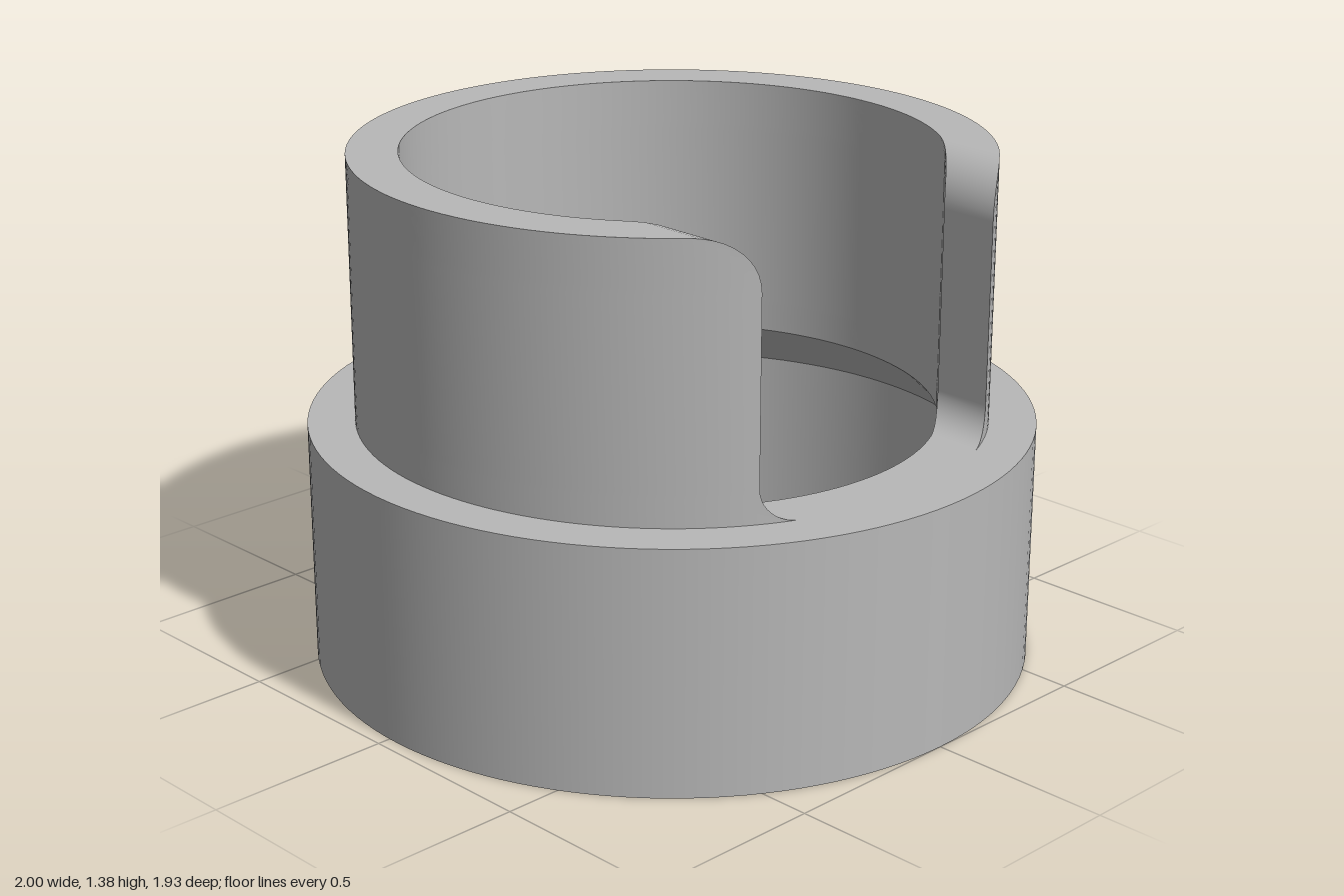
import * as THREE from 'three';
import { mergeGeometries } from 'three/addons/utils/BufferGeometryUtils.js';

const SEG = 128;
const R_BASE = 0.965, R_WALL = 0.84, R_BORE = 0.705; // radii
const Y_STEP = 0.655, Y_TOP = 1.377;                 // heights
const SLOT = 0.42, FILLET = 0.09, ROUND = 0.14;      // slot half-width and corner radii

// Grid surface from f(u, rowIndex) -> [x, y, z]; it faces du x dv.
function grid(f, cols, rows) {
  const pos = [], index = [];
  for (let i = 0; i < rows; i++) {
    for (let j = 0; j <= cols; j++) {
      pos.push(...f(j / cols, i));
      if (i < rows - 1 && j < cols) {
        const a = i * (cols + 1) + j, d = a + cols + 1;
        index.push(a, a + 1, d, a + 1, d + 1, d);
      }
    }
  }
  const g = new THREE.BufferGeometry();
  g.setAttribute('position', new THREE.Float32BufferAttribute(pos, 3));
  g.setIndex(index);
  g.computeVertexNormals();
  return g;
}

// Closed lathe ring with sharp profile corners.
function ring(profile) {
  return mergeGeometries(profile.map((p, i) => {
    const q = profile[(i + 1) % profile.length];
    return new THREE.LatheGeometry([new THREE.Vector2(...p), new THREE.Vector2(...q)], SEG);
  }));
}

// Slot outline on one side: [half-width, height] from floor to rim.
function slotOutline() {
  const pts = [], n = 10;
  for (let i = 0; i <= n; i++) {
    const t = (i / n) * Math.PI / 2;
    pts.push([SLOT - FILLET + FILLET * Math.sin(t), Y_STEP + FILLET * (1 - Math.cos(t))]);
  }
  // the lower corner fills the slot inward, the upper corner opens it outward
  for (let i = 0; i <= n; i++) {
    const t = (i / n) * Math.PI / 2;
    pts.push([SLOT + ROUND * (1 - Math.cos(t)), Y_TOP - ROUND + ROUND * Math.sin(t)]);
  }
  return pts;
}

// C-shaped wall with an open slot facing +x.
function slottedWall() {
  const rows = slotOutline(), n = rows.length;
  const onWall = (r, u, [w, y]) => {
    const a0 = Math.asin(w / r), a = a0 + u * (2 * Math.PI - 2 * a0);
    return [r * Math.cos(a), y, r * Math.sin(a)];
  };
  const onEdge = (u, [w, y], side) => {
    const xi = Math.sqrt(R_BORE ** 2 - w * w), xo = Math.sqrt(R_WALL ** 2 - w * w);
    return [xi + (xo - xi) * u, y, side * w];
  };
  const rim = rows[n - 1];
  return mergeGeometries([
    grid((u, i) => onWall(R_WALL, 1 - u, rows[i]), SEG, n),        // outside
    grid((u, i) => onWall(R_BORE, u, rows[i]), SEG, n),            // inside
    grid((u, i) => onWall(i ? R_WALL : R_BORE, u, rim), SEG, 2),   // top rim
    grid((u, i) => onEdge(1 - u, rows[i], 1), 1, n),               // slot edges
    grid((u, i) => onEdge(u, rows[i], -1), 1, n),
  ]);
}

export function createModel() {
  const model = new THREE.Group();
  model.name = 'slottedCollar';
  const grey = new THREE.MeshStandardMaterial({ color: 0xb8b8b8 });
  grey.name = 'grey';

  const add = (name, geometry) => {
    const mesh = new THREE.Mesh(geometry, grey);
    mesh.name = name;
    mesh.position.x = 0.035;
    model.add(mesh);
    return mesh;
  };

  // Wide base ring with a chamfer inside leading up to the narrower bore
  add('baseRing', ring([
    [R_WALL, 0], [R_BASE, 0], [R_BASE, Y_STEP], [R_BORE, Y_STEP], [R_WALL, Y_STEP - 0.135],
  ]));

  add('slottedWall', slottedWall());

  // Two round marker bumps on the side opposite the slot
  [0.33, 0.53].forEach((y, i) => {
    add(`markerBump${i + 1}`, new THREE.SphereGeometry(0.075, 32, 20)).position.set(-0.925, y, 0);
  });

  return model;
}
